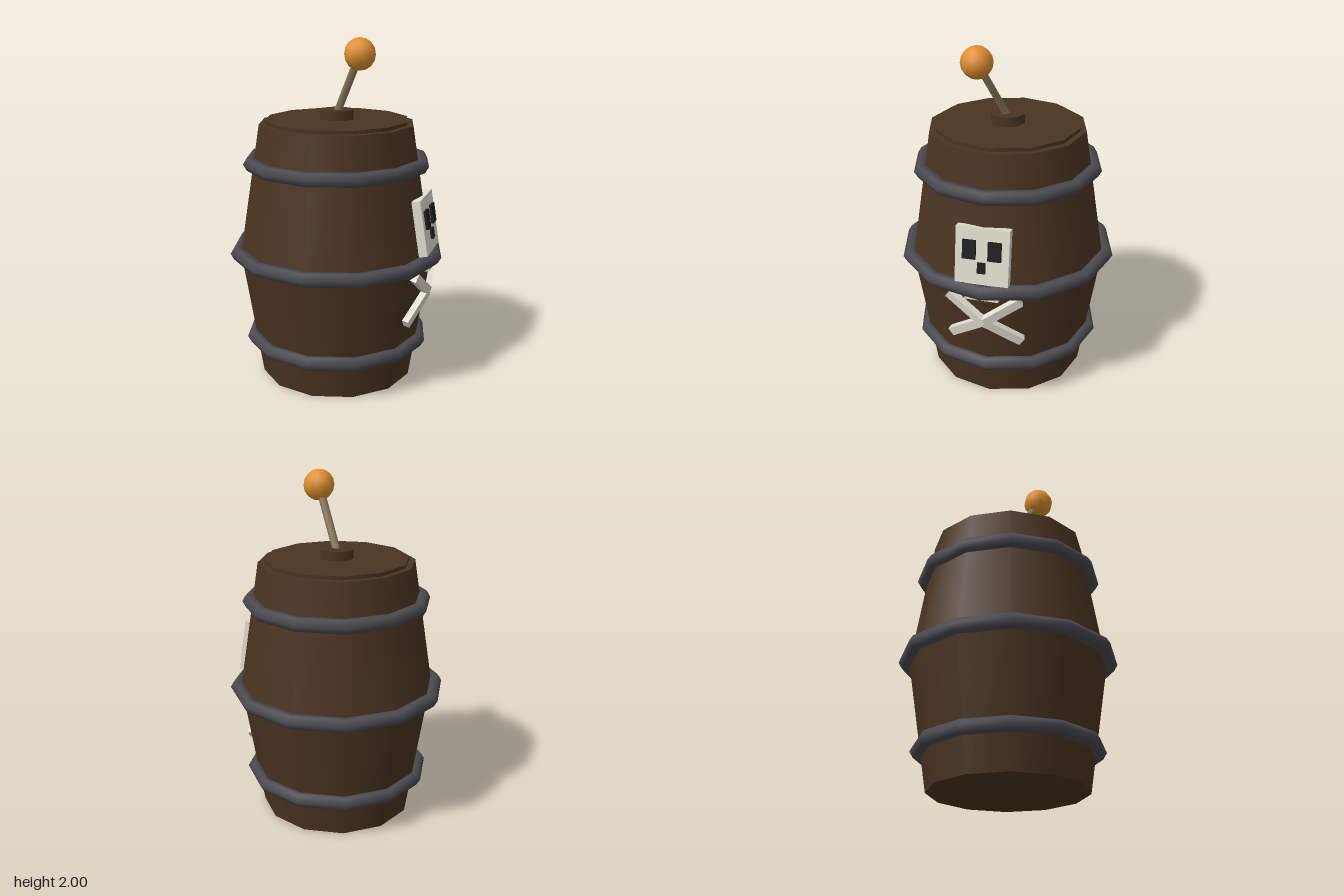
import * as THREE from 'three';

export function createModel() {
  const model = new THREE.Group();
  model.name = 'barrel';

  const mat = (name, color) => {
    const m = new THREE.MeshStandardMaterial({ color });
    m.name = name;
    return m;
  };
  const wood = mat('brown wood', 0x4a3421);
  const iron = mat('dark iron', 0x4a4a50);
  const rope = mat('fuse rope', 0x8a7a5a);
  const orange = mat('orange spark', 0xe09030);
  const bone = mat('bone white', 0xe0dccf);
  const black = mat('socket black', 0x1e1e20);

  const add = (name, geometry, material, x = 0, y = 0, z = 0, parent = model) => {
    const mesh = new THREE.Mesh(geometry, material);
    mesh.name = name;
    mesh.position.set(x, y, z);
    parent.add(mesh);
    return mesh;
  };

  // Barrel body: two tapered halves, widest at the middle
  const MID = 0.755, R_END = 0.45, R_MID = 0.57;
  add('lowerBody', new THREE.CylinderGeometry(R_MID, R_END, MID, 12), wood, 0, MID / 2, 0);
  add('upperBody', new THREE.CylinderGeometry(R_END, R_MID, MID, 12), wood, 0, MID * 1.5, 0);

  // Lid and fuse socket
  add('lid', new THREE.CylinderGeometry(0.415, 0.415, 0.04, 12), wood, 0, 1.51, 0);
  add('fuseSocket', new THREE.CylinderGeometry(0.1, 0.1, 0.06, 8), wood, 0, 1.553, 0);

  // Iron hoops
  for (const [name, radius, y] of [['lowerHoop', 0.503, 0.23], ['middleHoop', 0.59, MID], ['upperHoop', 0.503, 1.283]]) {
    const hoop = new THREE.TorusGeometry(radius, 0.042, 6, 12).rotateX(Math.PI / 2);
    add(name, hoop, iron, 0, y, 0);
  }

  // Leaning fuse with its glowing ball
  const foot = new THREE.Vector3(0, 1.56, 0);
  const tip = new THREE.Vector3(0.173, 1.91, 0.125);
  const lean = tip.clone().sub(foot);
  const fuse = add('fuse', new THREE.CylinderGeometry(0.023, 0.023, lean.length(), 6), rope);
  fuse.position.copy(foot).addScaledVector(lean, 0.5);
  fuse.quaternion.setFromUnitVectors(new THREE.Vector3(0, 1, 0), lean.normalize());
  add('sparkBall', new THREE.SphereGeometry(0.09, 10, 8), orange, tip.x, tip.y, tip.z);

  // Skull plate, tilted to follow the upper slope on the +x side
  const skull = new THREE.Group();
  skull.name = 'skull';
  skull.position.set(0.533, 0.957, 0);
  skull.rotation.z = 0.16;
  model.add(skull);
  add('head', new THREE.BoxGeometry(0.05, 0.32, 0.3), bone, 0, 0, 0, skull);
  add('jaw', new THREE.BoxGeometry(0.04, 0.11, 0.19), bone, -0.012, -0.207, 0, skull);
  for (const side of [-1, 1]) {
    add('eyeSocket', new THREE.BoxGeometry(0.03, 0.107, 0.074), black, 0.025, 0.037, side * 0.071, skull);
  }
  add('nose', new THREE.BoxGeometry(0.03, 0.06, 0.044), black, 0.025, -0.063, 0, skull);

  // Crossed bones: four half bones from the centre, each lying on a barrel facet
  const slope = (R_MID - R_END) / MID;
  const surface = (y, z) => new THREE.Vector3(
    R_END + slope * y - Math.tan(Math.PI / 12) * Math.abs(z), y, z);
  for (const sz of [-1, 1]) {
    for (const sy of [-1, 1]) {
      const centre = surface(0.553, 0);
      const end = surface(0.553 + sy * 0.143, sz * 0.2);
      const along = end.clone().sub(centre);
      const length = along.length();
      along.normalize();
      const normal = new THREE.Vector3(1, -slope, sz * Math.tan(Math.PI / 12)).normalize();
      const across = new THREE.Vector3().crossVectors(normal, along);
      const half = add('crossbone', new THREE.BoxGeometry(length, 0.052, 0.04), bone);
      half.quaternion.setFromRotationMatrix(new THREE.Matrix4().makeBasis(along, across, normal));
      half.position.copy(centre).add(end).multiplyScalar(0.5).addScaledVector(normal, 0.018);
    }
  }

  return model;
}
